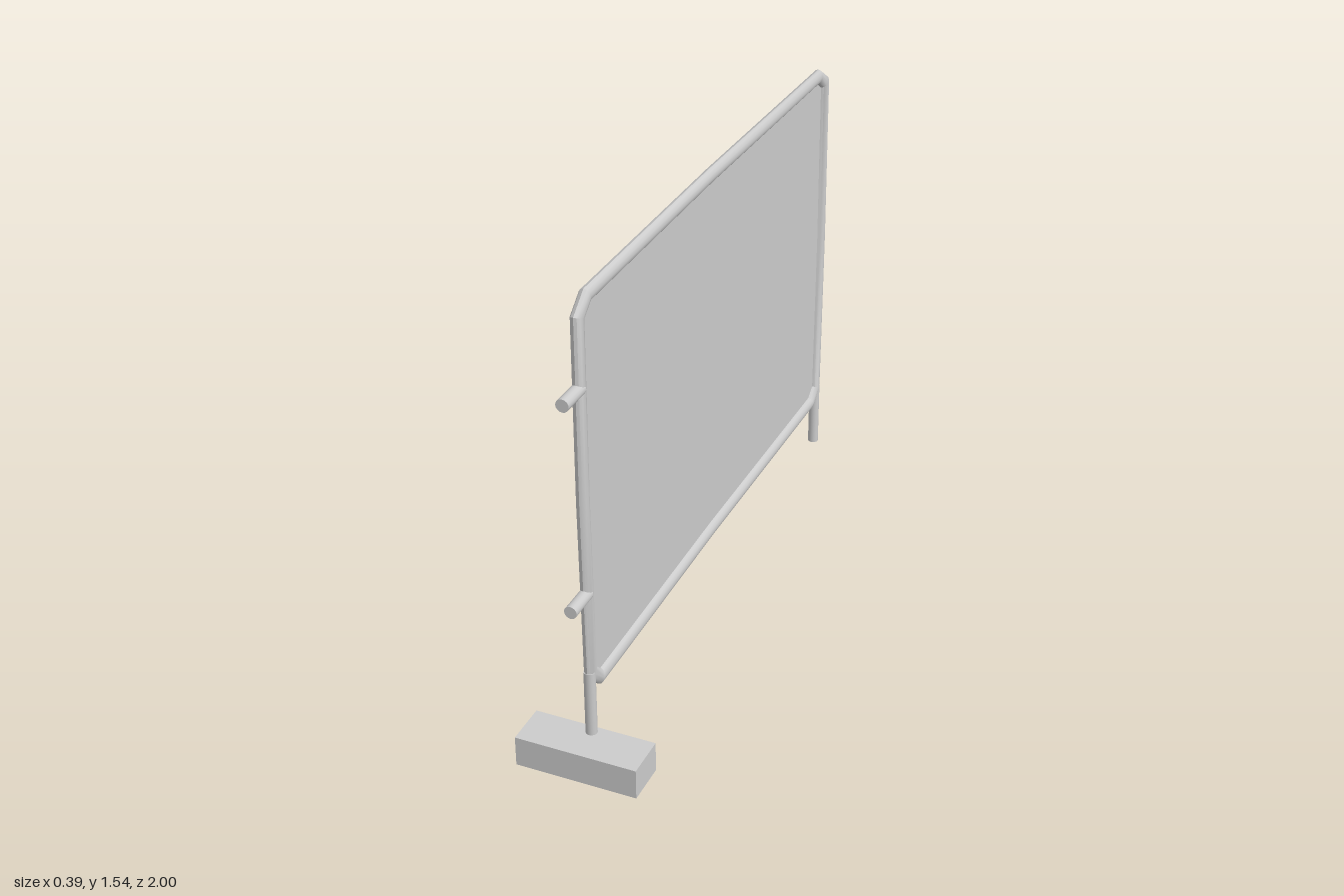
import * as THREE from 'three';
import { toCreasedNormals } from 'three/addons/utils/BufferGeometryUtils.js';

// Centre line of the slightly bent frame as [z, y], running round the loop
const PATH = [
  [-0.91, 1.51], [0, 1.519], [0.835, 1.511], [0.886, 1.468],
  [0.89, 0.9], [0.88, 0.31], [0.825, 0.261], [0, 0.276],
  [-0.912, 0.27], [-0.964, 0.31], [-0.974, 0.9], [-0.969, 1.472],
].map(([z, y]) => new THREE.Vector2(z, y));

// Closed mitred tube: an oval section swept round the path in the x = 0 plane
function frameGeometry(path, halfX, halfPlane, sides = 12) {
  const n = path.length, pos = [], index = [];
  path.forEach((p, i) => {
    const t0 = p.clone().sub(path[(i + n - 1) % n]).normalize();
    const t1 = path[(i + 1) % n].clone().sub(p).normalize();
    const t = t0.clone().add(t1).normalize();
    const miter = halfPlane / t.dot(t1);
    for (let j = 0; j < sides; j++) {
      const a = (j / sides) * Math.PI * 2, s = Math.sin(a) * miter;
      pos.push(Math.cos(a) * halfX, p.y + t.x * s, p.x - t.y * s);
      const k = (j + 1) % sides, r = i * sides, q = ((i + 1) % n) * sides;
      index.push(r + j, r + k, q + k, r + j, q + k, q + j);
    }
  });
  const g = new THREE.BufferGeometry();
  g.setAttribute('position', new THREE.Float32BufferAttribute(pos, 3));
  g.setIndex(index);
  return toCreasedNormals(g, 0.6);
}

export function createModel() {
  const model = new THREE.Group();
  const grey = new THREE.MeshStandardMaterial({ color: 0xcccccc });
  const sheet = new THREE.MeshStandardMaterial({ color: 0xcccccc, side: THREE.DoubleSide });
  const add = (name, geometry, x, y, z, material = grey) => {
    const mesh = new THREE.Mesh(geometry, material);
    mesh.name = name;
    mesh.position.set(x, y, z);
    model.add(mesh);
    return mesh;
  };

  // Bent tube frame and the sheet filling it
  add('frame', frameGeometry(PATH, 0.018, 0.023), 0, 0, 0);
  const outline = new THREE.Shape(PATH.map((p) => new THREE.Vector2(-p.x, p.y)));
  add('panel', new THREE.ShapeGeometry(outline).rotateY(Math.PI / 2), 0, 0, 0, sheet);

  // Legs below the two uprights
  for (const [name, z, bottom] of [['frontLeg', 0.887, 0.09], ['backLeg', -0.966, 0.085]]) {
    const top = 0.32;
    add(name, new THREE.CylinderGeometry(0.018, 0.018, top - bottom, 16), 0, (top + bottom) / 2, z);
  }

  // Linking pegs on the front upright
  for (const [name, y] of [['upperPeg', 1.257], ['lowerPeg', 0.594]]) {
    add(name, new THREE.CylinderGeometry(0.02, 0.02, 0.105, 16).rotateX(Math.PI / 2), 0, y, 0.938);
  }

  // Foot block
  add('footBlock', new THREE.BoxGeometry(0.39, 0.1, 0.138), 0, 0.05, 0.931);
  return model;
}
